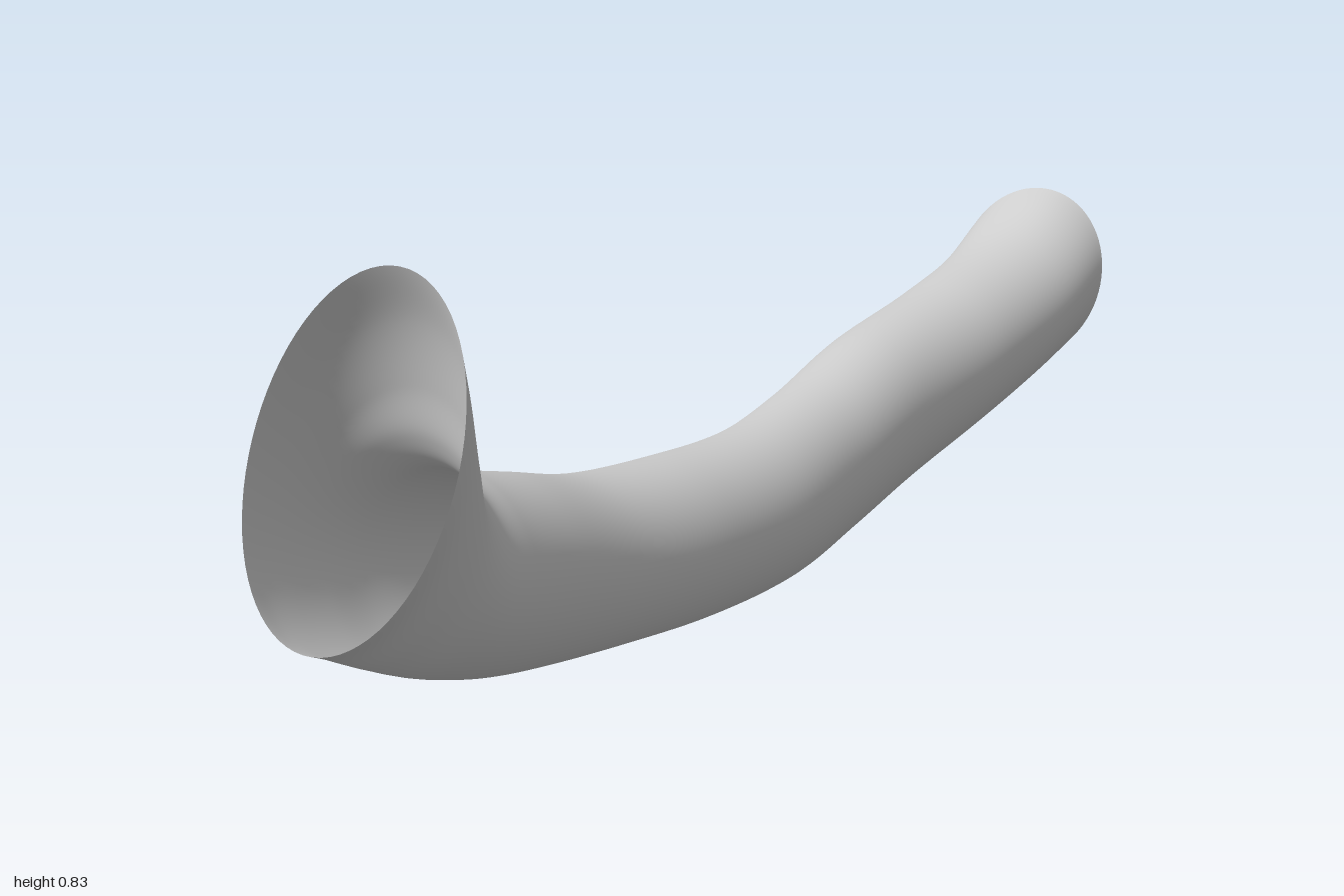
import * as THREE from 'three';

// Stations from the flared front mouth to the back end:
// [top y, top z, bottom y, bottom z, right-hand x min, x max, side tilt y, side tilt z]
const stations = [
  [0.825, 0.83, 0.22, 1.0, -0.218, 0.206, 0.06, -0.035],
  [0.72, 0.785, 0.2, 0.97, -0.212, 0.18, 0.045, -0.03],
  [0.6, 0.755, 0.165, 0.92, -0.204, 0.165, 0.02, -0.02],
  [0.505, 0.738, 0.125, 0.85, -0.196, 0.158, 0, -0.01],
  [0.447, 0.705, 0.09, 0.77, -0.185, 0.155, 0, 0],
  [0.42, 0.65, 0.06, 0.68, -0.17, 0.155, 0, 0],
  [0.385, 0.55, 0.033, 0.55, -0.152, 0.158, 0, 0],
  [0.335, 0.4, 0.013, 0.4, -0.135, 0.17, 0, 0],
  [0.312, 0.2, 0.0, 0.2, -0.105, 0.2, 0, 0],
  [0.306, 0.0, 0.005, 0.0, -0.078, 0.215, 0, 0],
  [0.325, -0.2, 0.025, -0.2, -0.092, 0.198, 0, 0],
  [0.37, -0.4, 0.055, -0.4, -0.108, 0.187, 0, 0],
  [0.405, -0.65, 0.11, -0.63, -0.11, 0.2, 0, 0],
  [0.45, -0.85, 0.155, -0.8, -0.107, 0.205, 0, -0.015],
  [0.53, -0.995, 0.18, -0.9, -0.105, 0.207, 0, -0.03],
];

// Point on the tilted elliptical section of one station
function sectionPoint([ty, tz, by, bz, x0, x1, sy, sz], angle) {
  const c = Math.cos(angle), s = Math.sin(angle);
  return new THREE.Vector3(
    (x0 + x1) / 2 + c * (x1 - x0) / 2,
    (ty + by) / 2 + s * (ty - by) / 2 + c * sy,
    (tz + bz) / 2 + s * (tz - bz) / 2 + c * sz,
  );
}

// Smooth open skin lofted through all stations
function loftTube(around = 72, along = 140) {
  const positions = [], index = [];
  for (let i = 0; i < around; i++) {
    const angle = (i / around) * Math.PI * 2;
    const line = new THREE.CatmullRomCurve3(stations.map((st) => sectionPoint(st, angle)));
    for (let j = 0; j <= along; j++) positions.push(...line.getPoint(j / along).toArray());
  }
  const row = along + 1;
  for (let i = 0; i < around; i++) {
    for (let j = 0; j < along; j++) {
      const a = i * row + j, b = ((i + 1) % around) * row + j;
      index.push(a, a + 1, b, b, a + 1, b + 1);
    }
  }
  const geometry = new THREE.BufferGeometry();
  geometry.setAttribute('position', new THREE.Float32BufferAttribute(positions, 3));
  geometry.setIndex(index);
  geometry.computeVertexNormals();
  return geometry;
}

export function createModel() {
  const group = new THREE.Group();
  group.name = 'bentTube';
  const material = new THREE.MeshStandardMaterial({ color: 0xcccccc, side: THREE.DoubleSide });
  const tube = new THREE.Mesh(loftTube(), material);
  tube.name = 'tubeWall';
  group.add(tube);
  return group;
}
